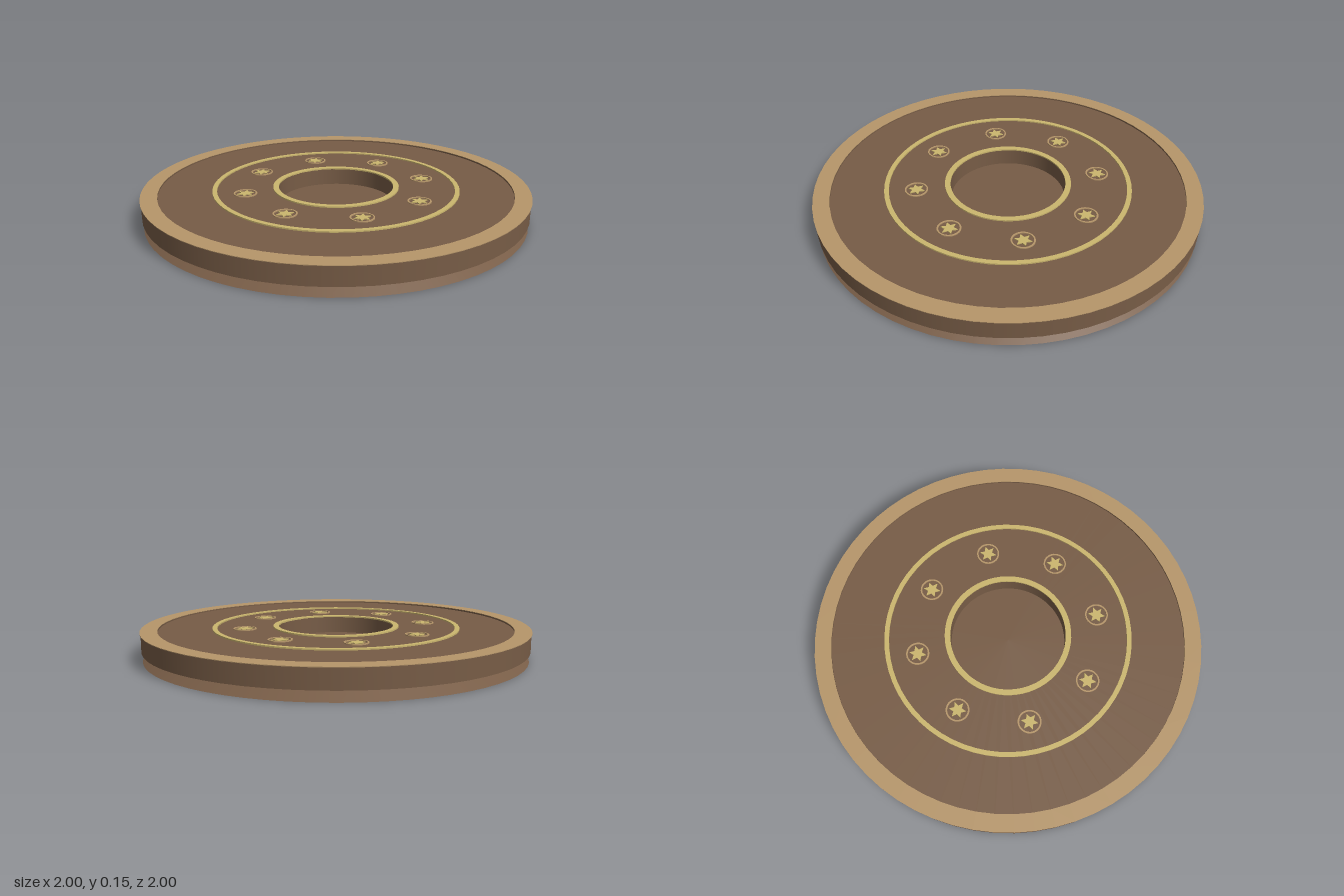
import * as THREE from 'three';

const SEGMENTS = 64;

function material(name, color) {
  const m = new THREE.MeshStandardMaterial({ color });
  m.name = name;
  return m;
}

export function createModel() {
  const brown = material('brown', 0x775c46);
  const tan = material('tan', 0xb6966a);
  const gold = material('gold', 0xcbb66e);
  const model = new THREE.Group();
  model.name = 'roundPlate';

  function add(parent, name, geometry, mat, x = 0, y = 0, z = 0) {
    const mesh = new THREE.Mesh(geometry, mat);
    mesh.name = name;
    mesh.position.set(x, y, z);
    parent.add(mesh);
    return mesh;
  }

  // Square-section ring: each wall has its own points so edges stay sharp
  function ring(name, inner, outer, y0, y1, mat, parent = model, segments = SEGMENTS) {
    const group = new THREE.Group();
    group.name = name;
    const corners = [[inner, y0], [outer, y0], [outer, y1], [inner, y1]];
    const sides = ['Underside', 'OuterWall', 'Top', 'InnerWall'];
    sides.forEach((side, i) => {
      const points = [corners[i], corners[(i + 1) % 4]].map(([r, y]) => new THREE.Vector2(r, y));
      add(group, name + side, new THREE.LatheGeometry(points, segments), mat);
    });
    parent.add(group);
    return group;
  }

  // Flared foot, closed above to form the floor of the central well
  add(model, 'flaredFoot', new THREE.CylinderGeometry(0.905, 0.99, 0.05, SEGMENTS), brown, 0, 0.025, 0);

  // Main plate with a central hole, and its raised rim
  ring('mainPlate', 0.3, 0.995, 0.05, 0.137, brown);
  ring('rimBody', 0.915, 0.997, 0.135, 0.144, brown);
  ring('rimFace', 0.915, 1, 0.144, 0.147, tan);

  // Gold inlay rings
  ring('innerInlay', 0.3, 0.329, 0.136, 0.144, gold);
  ring('outerInlay', 0.618, 0.642, 0.136, 0.144, gold);

  // Six-pointed star plate
  const star = new THREE.Shape();
  for (let i = 0; i < 12; i++) {
    const a = Math.PI / 2 + i * Math.PI / 6;
    const r = i % 2 ? 0.022 : 0.044;
    if (i) star.lineTo(r * Math.cos(a), r * Math.sin(a));
    else star.moveTo(r * Math.cos(a), r * Math.sin(a));
  }
  star.closePath();
  const starGeometry = new THREE.ExtrudeGeometry(star, { depth: 0.006, bevelEnabled: false });
  starGeometry.rotateX(-Math.PI / 2);

  // Eight studs around the plate
  for (let i = 0; i < 8; i++) {
    const a = Math.PI / 8 + i * Math.PI / 4;
    const stud = new THREE.Group();
    stud.name = 'stud' + (i + 1);
    stud.position.set(0.477 * Math.cos(a), 0, 0.477 * Math.sin(a));
    model.add(stud);
    ring('studRing', 0.052, 0.06, 0.136, 0.142, tan, stud, 24);
    add(stud, 'studStar', starGeometry, gold, 0, 0.136, 0);
  }

  return model;
}
